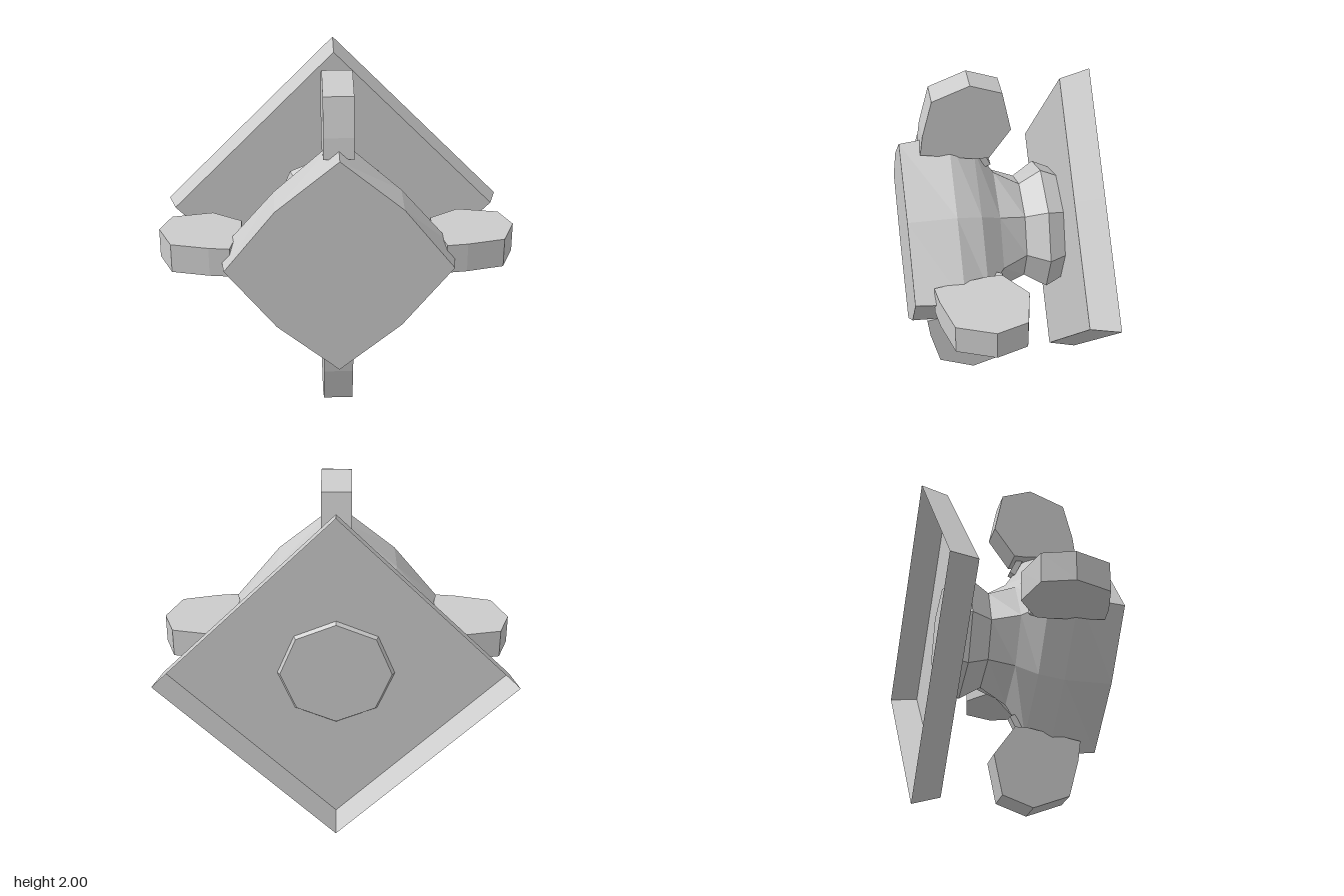
import * as THREE from 'three';

const grey = new THREE.MeshStandardMaterial({ color: 0xcccccc, flatShading: true });
const greyOpen = new THREE.MeshStandardMaterial({ color: 0xcccccc, flatShading: true, side: THREE.DoubleSide });

// Eight-point cross-section: r = reach on the axes, d = x and y of the diagonal points
function ring([z, r, d]) {
  return [[r, 0], [d, d], [0, r], [-d, d], [-r, 0], [-d, -d], [0, -r], [d, -d]].map(([x, y]) => [x, y, z]);
}

// Skin a list of sections running from back to front, with optional end caps
function loft(sections, capBack, capFront) {
  const rings = sections.map(ring);
  const pos = [];
  const tri = (...pts) => pts.forEach((p) => pos.push(...p));
  const last = rings.length - 1;
  for (let i = 0; i < 8; i++) {
    const j = (i + 1) % 8;
    for (let k = 0; k < last; k++) {
      const a = rings[k], b = rings[k + 1];
      tri(a[i], a[j], b[j]);
      tri(a[i], b[j], b[i]);
    }
    if (capBack) tri([0, 0, sections[0][0]], rings[0][j], rings[0][i]);
    if (capFront) tri([0, 0, sections[last][0]], rings[last][i], rings[last][j]);
  }
  const geometry = new THREE.BufferGeometry();
  geometry.setAttribute('position', new THREE.Float32BufferAttribute(pos, 3));
  geometry.computeVertexNormals();
  return geometry;
}

function add(parent, name, geometry, material = grey) {
  const mesh = new THREE.Mesh(geometry, material);
  mesh.name = name;
  parent.add(mesh);
  return mesh;
}

export function createModel() {
  const model = new THREE.Group();
  model.name = 'model';
  const body = new THREE.Group();
  body.name = 'body';
  body.position.y = 1;
  model.add(body);

  // Diamond back plate: a shallow tray, open at the back
  add(body, 'backPlate', loft([[-0.52, 1, 0.5], [-0.36, 0.953, 0.4765]], false, true), greyOpen);

  // Octagonal neck, its end just passing through the plate
  add(body, 'neck', loft([
    [-0.38, 0.31, 0.22], [-0.36, 0.325, 0.23], [-0.27, 0.368, 0.26], [-0.148, 0.29, 0.206],
  ], true, false));

  // Head swelling from an octagon to a slightly bulged diamond
  add(body, 'head', loft([
    [-0.148, 0.29, 0.206], [-0.002, 0.383, 0.245], [0.11, 0.56, 0.315],
    [0.248, 0.658, 0.35], [0.517, 0.625, 0.345],
  ], false, true));

  // Pod outline: x = distance from the centre, y = depth
  const outline = [
    [0.54, 0.11], [0.54, 0.035], [0.71, -0.085], [0.94, -0.037],
    [1, 0.135], [0.92, 0.34], [0.71, 0.395], [0.595, 0.41],
  ];
  const podGeometry = new THREE.ExtrudeGeometry(
    new THREE.Shape(outline.map(([x, y]) => new THREE.Vector2(x, y))),
    { depth: 0.166, bevelEnabled: false },
  );
  podGeometry.translate(0, 0, -0.083).rotateX(Math.PI / 2);
  const tabGeometry = new THREE.BoxGeometry(0.11, 0.055, 0.035);

  // One pod with its small rear tab on each corner
  for (let i = 0; i < 4; i++) {
    const corner = new THREE.Group();
    corner.name = 'cornerPod' + (i + 1);
    corner.rotation.z = i * Math.PI / 2;
    add(corner, 'pod', podGeometry);
    const tab = add(corner, 'tab', tabGeometry);
    tab.position.set(0.5, 0, 0.058);
    tab.rotation.y = -0.45;
    body.add(corner);
  }
  return model;
}
